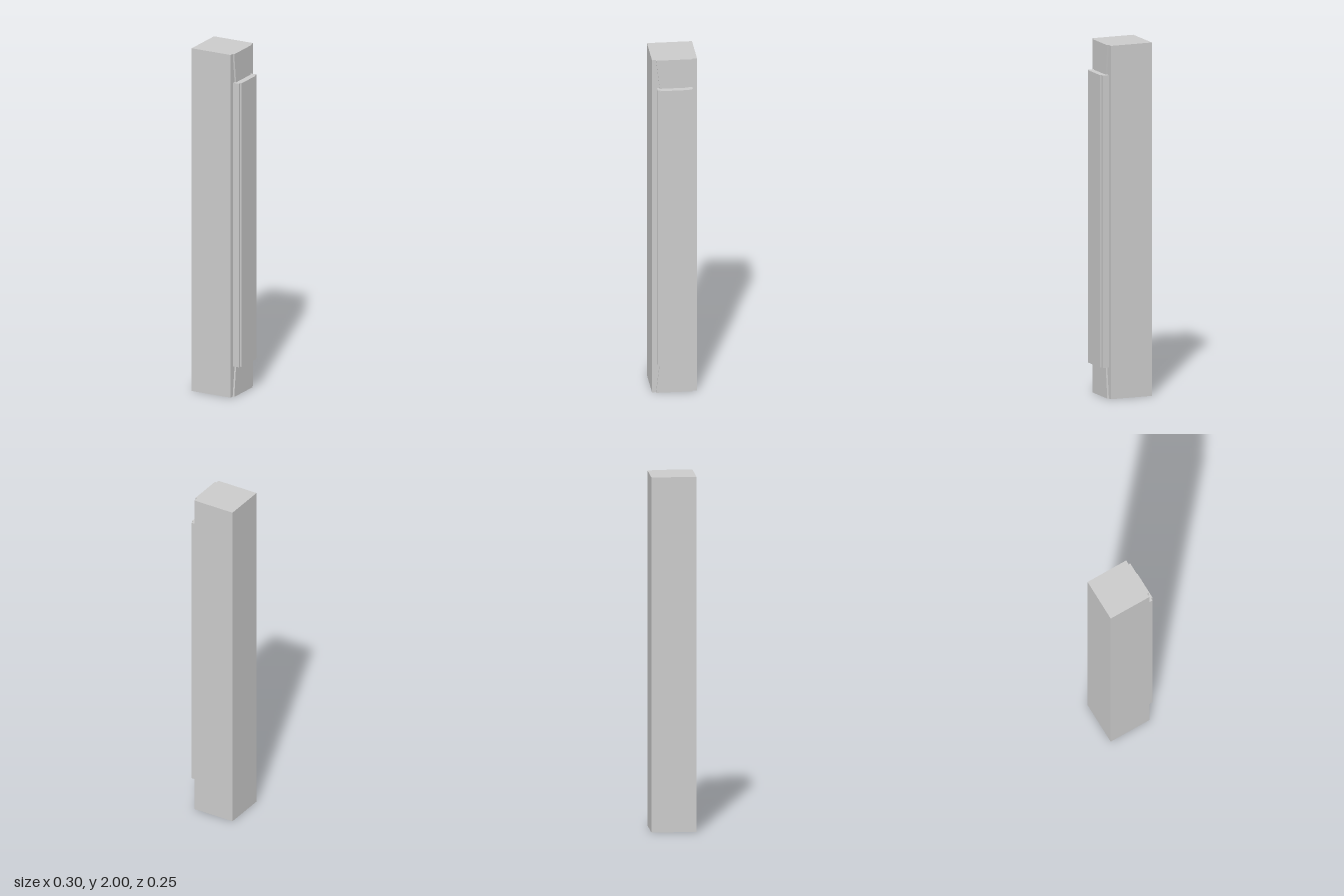
import * as THREE from 'three';

export function createModel() {
  const group = new THREE.Group();
  const material = new THREE.MeshStandardMaterial({ color: 0xcccccc, flatShading: true });

  const add = (name, geometry) => {
    const mesh = new THREE.Mesh(geometry, material);
    mesh.name = name;
    group.add(mesh);
  };

  // Box given by its limits along each axis
  const block = (name, [x0, x1], [y0, y1], [z0, z1]) => {
    const geometry = new THREE.BoxGeometry(x1 - x0, y1 - y0, z1 - z0);
    geometry.translate((x0 + x1) / 2, (y0 + y1) / 2, (z0 + z1) / 2);
    add(name, geometry);
  };

  const bodySide = 0.102;
  const panelHeight = [0.175, 1.83];

  // Square post
  block('post', [-0.148, bodySide], [0, 2], [-0.127, 0.125]);

  // Thin backing plate, narrowing from both ends towards the panel
  const outline = [
    [-0.1, 0], [-0.079, 0.175], [-0.079, 1.83], [-0.1, 2],
    [0.103, 2], [0.082, 1.83], [0.082, 0.175], [0.103, 0],
  ];
  const shape = new THREE.Shape(outline.map(([z, y]) => new THREE.Vector2(-z, y)));
  const plate = new THREE.ExtrudeGeometry(shape, { depth: 0.01, bevelEnabled: false });
  plate.rotateY(Math.PI / 2).translate(bodySide, 0, 0);
  add('backingPlate', plate);

  // Stepped panel: wide base with a narrower raised face
  block('panelBase', [bodySide, 0.138], panelHeight, [-0.1, 0.098]);
  block('panelFace', [0.138, 0.147], panelHeight, [-0.079, 0.082]);

  return group;
}
